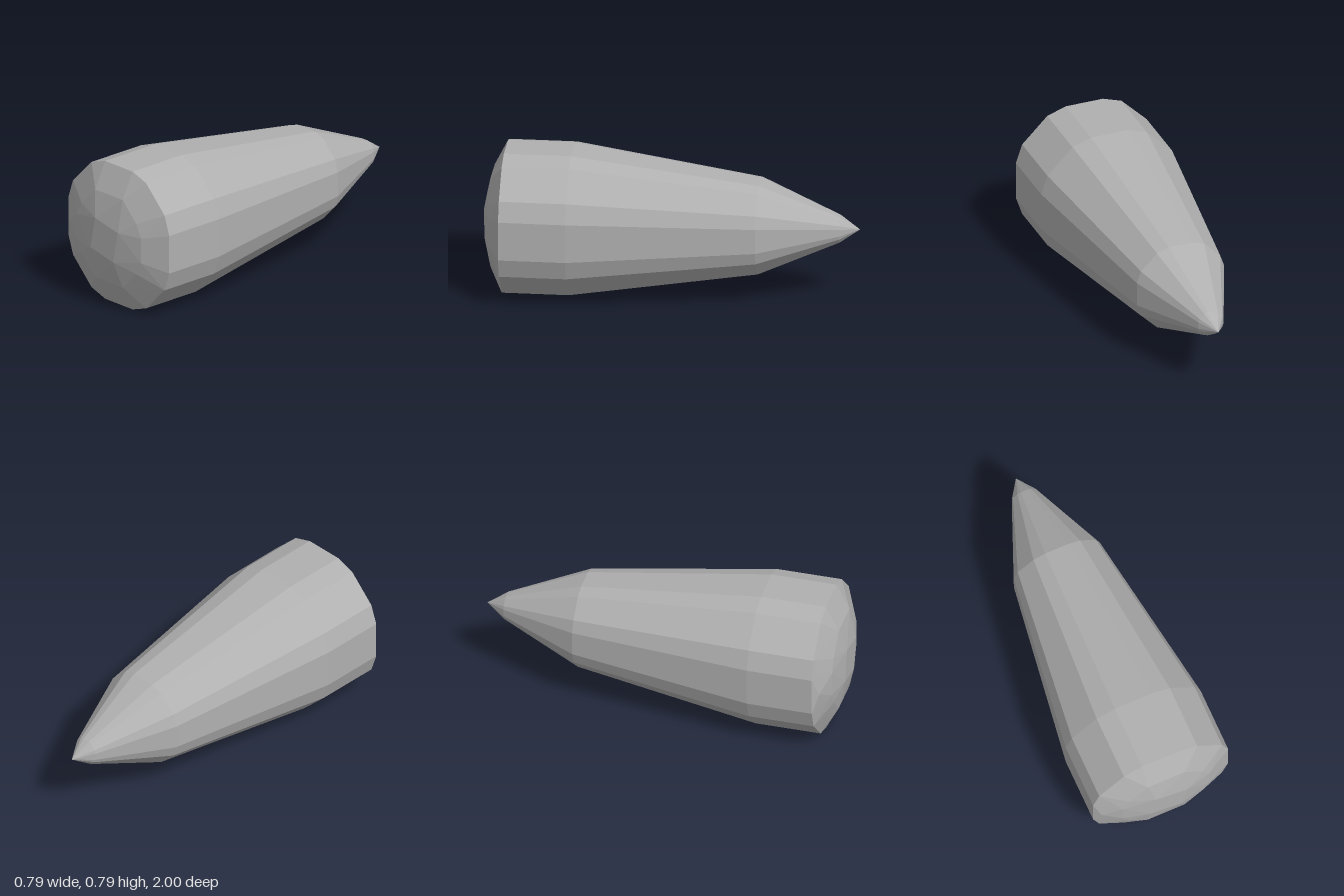
import * as THREE from 'three';
import { ConvexGeometry } from 'three/addons/geometries/ConvexGeometry.js';

const CENTRE_Y = 0.393;

// Mirrors one quadrant of a cross-section into all four, at depth z
function ring(quadrant, z, scale = 1) {
  const points = [];
  for (const [x, y] of quadrant) {
    for (const sx of [1, -1]) {
      for (const sy of [1, -1]) {
        points.push(new THREE.Vector3(sx * x * scale, sy * y * scale, z));
      }
    }
  }
  return points;
}

export function createModel() {
  const group = new THREE.Group();
  group.name = 'taperedSpike';
  const grey = new THREE.MeshStandardMaterial({ color: 0xb0b0b0 });
  grey.name = 'grey';

  const section = [[0.107, 0.393], [0.213, 0.357], [0.357, 0.213], [0.393, 0.107]];
  const capSection = [[0.107, 0.25], [0.213, 0.143], [0.25, 0.07]];

  const points = [
    // Straight base, long taper, then the steeper nose
    ...ring(section, 0.893),
    ...ring(section, 0.535),
    ...ring(section, -0.465, 0.636),
    ...ring(section, -0.893, 0.182),
    new THREE.Vector3(0, 0, -1),
    // Faceted domed cap with a slightly turned centre facet
    ...ring(capSection, 0.965),
    new THREE.Vector3(-0.357, 0, 0.925),
  ];
  for (let i = 0; i < 4; i++) {
    points.push(new THREE.Vector3(0.107, 0.07, 1).applyAxisAngle(new THREE.Vector3(0, 0, 1), i * Math.PI / 2));
  }

  // The form is convex, so its facets follow from the ring points
  const body = new THREE.Mesh(new ConvexGeometry(points), grey);
  body.name = 'spikeBody';
  body.position.y = CENTRE_Y;
  group.add(body);
  return group;
}
